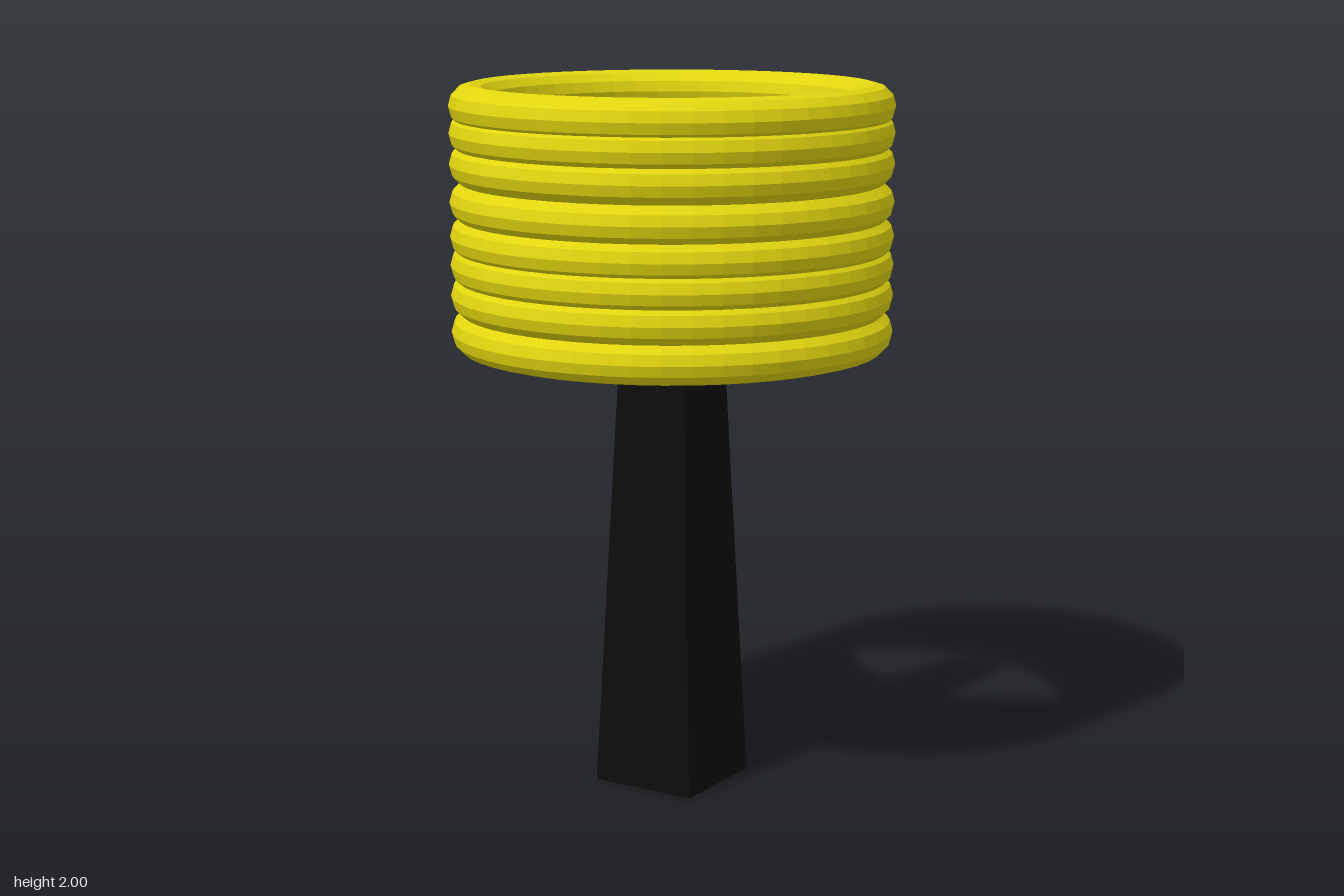
import * as THREE from 'three';

export function createModel() {
  const model = new THREE.Group();
  const yellow = new THREE.MeshStandardMaterial({ color: 0xe2d60f, flatShading: true });
  const black = new THREE.MeshStandardMaterial({ color: 0x0d0d0d, flatShading: true });

  // Tapered square post
  const postGeometry = new THREE.CylinderGeometry(0.0875 * Math.SQRT2, 0.158 * Math.SQRT2, 1.74, 4);
  postGeometry.rotateY(Math.PI / 4);
  const post = new THREE.Mesh(postGeometry, black);
  post.name = 'post';
  post.position.y = 0.87;
  model.add(post);

  // Stack of slightly unevenly spaced, overlapping rings
  const rings = new THREE.Group();
  rings.name = 'ringStack';
  const ringGeometry = new THREE.TorusGeometry(0.558, 0.06, 12, 48);
  ringGeometry.rotateX(-Math.PI / 2);
  [1.313, 1.415, 1.5, 1.58, 1.675, 1.78, 1.865, 1.94].forEach((y, i) => {
    const ring = new THREE.Mesh(ringGeometry, yellow);
    ring.name = `ring${i + 1}`;
    ring.position.y = y;
    rings.add(ring);
  });
  model.add(rings);

  return model;
}
